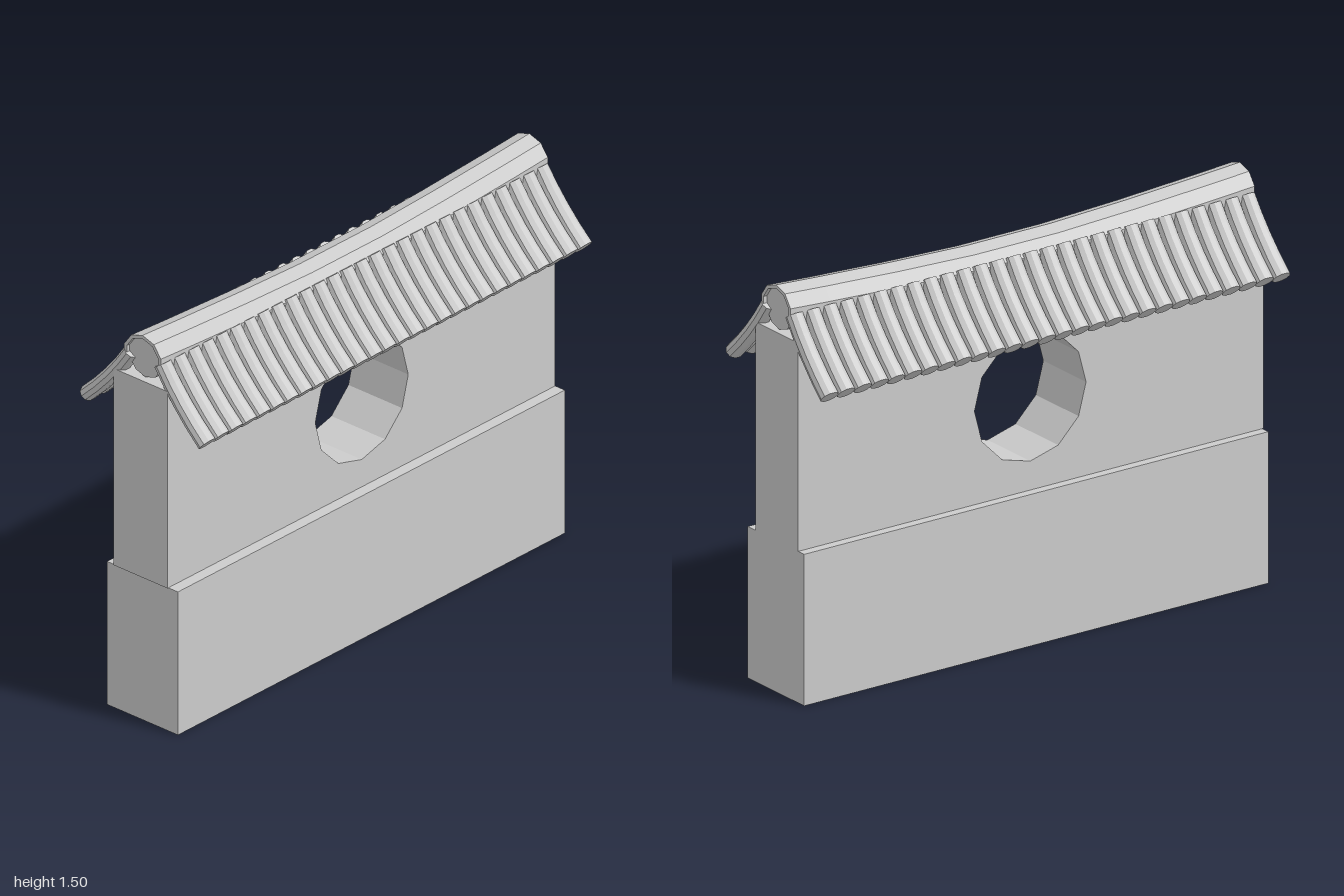
import * as THREE from 'three';

const material = new THREE.MeshStandardMaterial({ color: 0xcccccc, flatShading: true });

function addMesh(parent, name, geometry) {
  const mesh = new THREE.Mesh(geometry, material);
  mesh.name = name;
  parent.add(mesh);
  return mesh;
}

// Joins equal-length rings (counter-clockwise seen from the far end) and closes both ends.
function loft(rings, profile) {
  const n = profile.length;
  const last = (rings.length - 1) * n;
  const index = [];
  for (let i = 0; i < rings.length - 1; i++) {
    for (let j = 0; j < n; j++) {
      const a = i * n + j, b = i * n + (j + 1) % n;
      index.push(a, b, b + n, a, b + n, a + n);
    }
  }
  for (const [a, b, c] of THREE.ShapeUtils.triangulateShape(profile, [])) {
    index.push(c, b, a, last + a, last + b, last + c);
  }
  const geometry = new THREE.BufferGeometry();
  geometry.setAttribute('position', new THREE.Float32BufferAttribute(rings.flat(2), 3));
  geometry.setIndex(index);
  const flat = geometry.toNonIndexed();
  flat.computeVertexNormals();
  return flat;
}

// Points on an arc, angles in degrees
function arc(radius, from, step, count) {
  return Array.from({ length: count }, (_, i) => {
    const t = THREE.MathUtils.degToRad(from + i * step);
    return new THREE.Vector2(radius * Math.cos(t), radius * Math.sin(t));
  });
}

// Ridge pieces follow a line that sags toward the middle
const ridgeY = z => 1.37 + 0.045 * Math.pow(Math.abs(z), 1.5);
function ridgeSweep(profile, stations) {
  return loft(stations.map(z => profile.map(p => [p.x, ridgeY(z) + p.y, z])), profile);
}

// One roof tile: an oval bar along a slightly hollow slope
function tileGeometry() {
  const curve = new THREE.QuadraticBezierCurve(
    new THREE.Vector2(0.07, 1.41), new THREE.Vector2(0.155, 1.28), new THREE.Vector2(0.277, 1.17));
  const profile = arc(1, 0, 36, 10);
  const steps = 4;
  const rings = [];
  for (let i = 0; i <= steps; i++) {
    const p = curve.getPoint(i / steps), t = curve.getTangent(i / steps);
    const halfWidth = 0.032 + 0.004 * i / steps;
    rings.push(profile.map(q => [p.x + t.y * q.y * 0.03, p.y - t.x * q.y * 0.03, q.x * halfWidth]));
  }
  return loft(rings, profile);
}

export function createModel() {
  const model = new THREE.Group();
  model.name = 'gardenWall';

  // Plinth
  addMesh(model, 'base', new THREE.BoxGeometry(0.33, 0.56, 1.98).translate(0, 0.28, 0));

  // Wall with a twelve-sided moon window
  const outline = new THREE.Shape([
    new THREE.Vector2(-0.99, 0.56), new THREE.Vector2(0.995, 0.56),
    new THREE.Vector2(0.995, 1.33), new THREE.Vector2(-0.99, 1.33)]);
  outline.holes.push(new THREE.Path(
    arc(0.238, 0, -30, 12).map(p => new THREE.Vector2(p.x, p.y + 0.905))));
  const wall = new THREE.ExtrudeGeometry(outline, { depth: 0.25, bevelEnabled: false });
  addMesh(model, 'wall', wall.rotateY(-Math.PI / 2).translate(0.12, 0, 0));

  // Two mirrored slopes of tiles
  const tile = tileGeometry();
  const count = 28;
  for (const [name, turn] of [['leftRoof', 0], ['rightRoof', Math.PI]]) {
    const slope = new THREE.Group();
    slope.name = name;
    slope.rotation.y = turn;
    for (let i = 0; i < count; i++) {
      addMesh(slope, 'roofTile', tile).position.z = (i - (count - 1) / 2) * 0.0714;
    }
    model.add(slope);
  }

  // Ridge: arched cover over a slightly recessed core
  const cover = [...arc(0.09, -18, 36, 7), ...arc(0.077, 198, -36, 7)];
  addMesh(model, 'ridgeCover', ridgeSweep(cover, [-0.99, -0.82, -0.5, -0.18, 0.18, 0.5, 0.82, 0.99]));
  addMesh(model, 'ridgeCore', ridgeSweep(arc(0.078, -90, 36, 10), [-0.975, -0.5, -0.18, 0.18, 0.5, 0.975]));

  return model;
}
